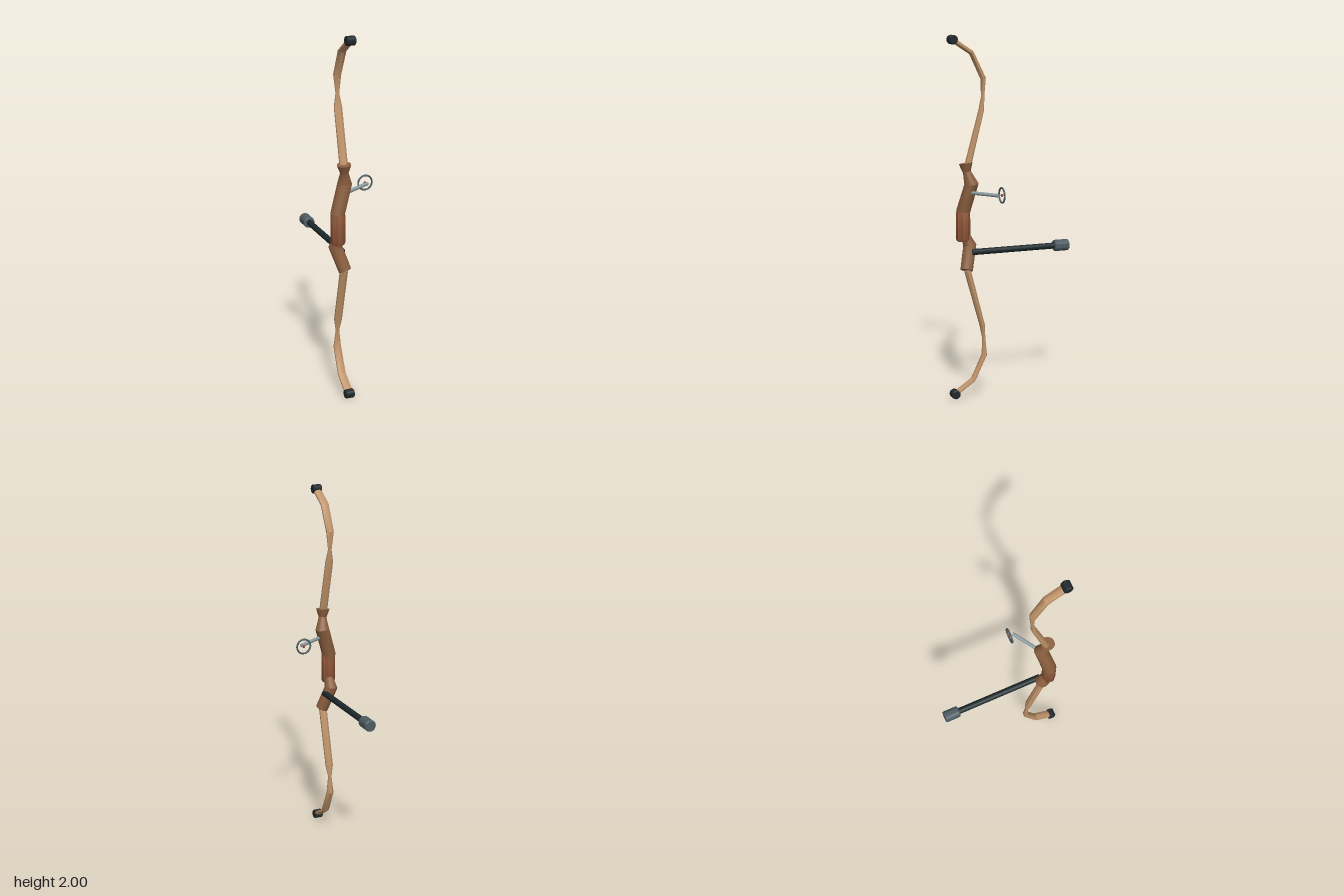
import * as THREE from 'three';
import { toCreasedNormals } from 'three/addons/utils/BufferGeometryUtils.js';

const mat = (color) => new THREE.MeshStandardMaterial({ color });
const BOW_X = -0.07;

// Loft elliptical rings [x, y, z, radiusX, radiusZ] square to the path, with closed ends.
function loft(rings, sides) {
  const pos = [], index = [];
  const pts = rings.map((r) => new THREE.Vector3(r[0], r[1], r[2]));
  const last = rings.length - 1;
  rings.forEach((r, i) => {
    const dir = (a, b) => pts[b].clone().sub(pts[a]).normalize();
    const t = new THREE.Vector3();
    if (i > 0) t.add(dir(i - 1, i));
    if (i < last) t.add(dir(i, i + 1));
    t.normalize();
    const u = new THREE.Vector3(1, 0, 0);
    u.addScaledVector(t, -u.dot(t)).normalize();
    const v = t.clone().cross(u);
    for (let j = 0; j < sides; j++) {
      const a = (j + 0.5) / sides * Math.PI * 2;
      const p = pts[i].clone()
        .addScaledVector(u, Math.cos(a) * r[3])
        .addScaledVector(v, Math.sin(a) * (r[4] ?? r[3]));
      pos.push(p.x, p.y, p.z);
    }
  });
  for (let j = 0; j < sides; j++) {
    const k = (j + 1) % sides;
    for (let i = 0; i < last; i++) {
      const a = i * sides + j, b = i * sides + k;
      index.push(a, b, b + sides, a, b + sides, a + sides);
    }
    if (j > 0 && j < sides - 1) {
      const e = last * sides;
      index.push(0, k, j, e, e + j, e + k);
    }
  }
  const g = new THREE.BufferGeometry();
  g.setAttribute('position', new THREE.Float32BufferAttribute(pos, 3));
  g.setIndex(index);
  return toCreasedNormals(g, 0.5);
}

// Solid of revolution along +y with chamfered ends, centred on its middle.
function chamferedRod(radius, length, chamfer, sides) {
  const h = length / 2;
  const profile = [[0, -h], [radius - chamfer, -h], [radius, -h + chamfer],
    [radius, h - chamfer], [radius - chamfer, h], [0, h]];
  const g = new THREE.LatheGeometry(profile.map((p) => new THREE.Vector2(...p)), sides);
  return toCreasedNormals(g, 0.6);
}

export function createModel() {
  const group = new THREE.Group();
  const wood = mat(0xc0946a), riserWood = mat(0x8c6040), gripWood = mat(0x8f5538);
  const black = mat(0x20282b), carbon = mat(0x1c282c), steel = mat(0x4c5c62), alloy = mat(0x8fa0a4);

  const add = (name, geometry, material, position = [0, 0, 0]) => {
    const mesh = new THREE.Mesh(geometry, material);
    mesh.name = name;
    mesh.position.set(...position);
    group.add(mesh);
    return mesh;
  };

  // Limbs: recurved, pinched where the curve turns; the lower mirrors the upper
  const limb = [
    [1.28, 0.25, 0.023, 0.018],
    [1.6, 0.164, 0.023, 0.014],
    [1.67, 0.156, 0.01, 0.009],
    [1.767, 0.153, 0.022, 0.014],
    [1.905, 0.22, 0.024, 0.013],
    [1.975, 0.328, 0.024, 0.013],
  ];
  for (const [name, flip] of [['upper', false], ['lower', true]]) {
    const y = (h) => (flip ? 2 - h : h);
    add(name + 'Limb', loft(limb.map(([h, z, rx, rz]) => [BOW_X, y(h), z, rx, rz]), 8), wood);
    add(name + 'LimbTip', chamferedRod(0.025, 0.05, 0.004, 16), black, [BOW_X, y(1.975), 0.328])
      .rotation.z = Math.PI / 2;
  }

  // Riser: two slanted halves that meet inside the grip
  add('upperRiser', loft([
    [-0.11, 1.0, 0.258, 0.036],
    [-0.11, 1.045, 0.257, 0.039],
    [-0.058, 1.2, 0.228, 0.039],
    [-0.069, 1.265, 0.25, 0.022],
    [-0.073, 1.312, 0.255, 0.038],
  ], 16), riserWood);
  add('lowerRiser', loft([
    [-0.067, 0.722, 0.256, 0.035],
    [-0.108, 0.852, 0.221, 0.037],
    [-0.105, 0.905, 0.245, 0.025],
  ], 16), riserWood);

  // Grip
  add('grip', loft([
    [-0.108, 0.878, 0.259, 0.034],
    [-0.108, 0.888, 0.259, 0.039],
    [-0.108, 1.04, 0.259, 0.039],
    [-0.108, 1.05, 0.259, 0.034],
  ], 8), gripWood);

  // Stabiliser rod and its end weight
  add('stabiliserRod', new THREE.CylinderGeometry(0.017, 0.017, 0.51, 20), carbon, [BOW_X, 0.82, -0.03])
    .rotation.x = Math.PI / 2;
  add('stabiliserWeight', chamferedRod(0.032, 0.087, 0.005, 24), steel, [BOW_X, 0.82, -0.3135])
    .rotation.x = Math.PI / 2;

  // Sight arm, ring and aiming bead
  const from = new THREE.Vector3(-0.05, 1.153, 0.238), to = new THREE.Vector3(0.11, 1.153, 0.138);
  const span = to.clone().sub(from);
  const arm = add('sightArm', new THREE.CylinderGeometry(0.01, 0.01, span.length(), 12), alloy,
    from.clone().lerp(to, 0.5).toArray());
  arm.quaternion.setFromUnitVectors(new THREE.Vector3(0, 1, 0), span.normalize());
  add('sightRing', new THREE.TorusGeometry(0.04, 0.005, 10, 32), steel, [0.106, 1.153, 0.117]);
  add('sightBead', new THREE.SphereGeometry(0.008, 12, 8), mat(0xa04030), [0.106, 1.153, 0.117]);

  return group;
}
